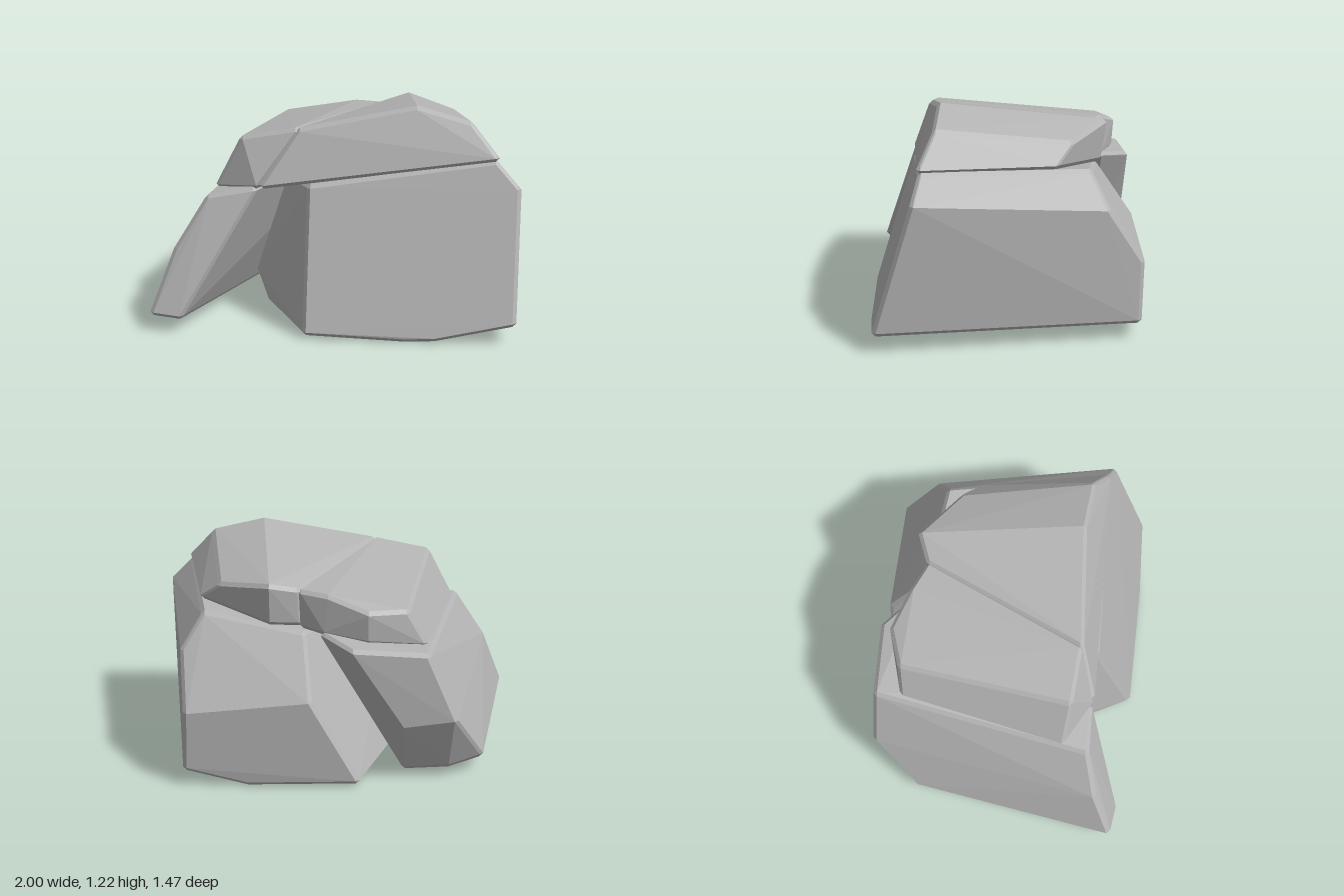
import * as THREE from 'three';
import { ConvexGeometry } from 'three/addons/geometries/ConvexGeometry.js';

const BEVEL = 0.021;

// Convex stone whose corners and edges are chamfered by a small octahedron at each corner.
function stone(name, corners, material) {
  const points = corners.map((c) => new THREE.Vector3(...c));
  const centre = new THREE.Vector3();
  points.forEach((p) => centre.addScaledVector(p, 1 / points.length));
  const hull = [];
  for (const p of points) {
    const inset = centre.clone().sub(p).setLength(BEVEL).add(p);
    for (const axis of ['x', 'y', 'z']) {
      for (const s of [-BEVEL, BEVEL]) {
        const q = inset.clone();
        q[axis] += s;
        hull.push(q);
      }
    }
  }
  const mesh = new THREE.Mesh(new ConvexGeometry(hull), material);
  mesh.name = name;
  return mesh;
}

export function createModel() {
  const group = new THREE.Group();
  group.name = 'rockFormation';
  const grey = new THREE.MeshStandardMaterial({ color: 0xb4b4b4 });
  grey.name = 'stone grey';

  // Large supporting boulder
  group.add(stone('largeBoulder', [
    // base
    [-0.15, 0.03, 0.73], [0.4, 0.01, 0.73], [0.56, 0.02, 0.73], [0.98, 0.11, 0.7],
    [0.79, 0.1, -0.72], [0.45, 0.01, -0.71], [-0.15, 0.03, -0.71],
    [-0.41, 0.04, 0.25], [-0.5, 0.17, 0.08],
    // back shoulder
    [0.11, 0.5, -0.73], [0.78, 0.43, -0.73],
    // top
    [0.99, 0.81, 0.49], [0.87, 0.94, 0.45], [-0.15, 0.79, 0.5], [-0.3, 0.77, 0.22],
    [0.7, 0.91, -0.45], [0.81, 0.73, -0.54], [0.15, 0.82, -0.52],
  ], grey));

  // Leaning side slab
  group.add(stone('leaningSlab', [
    // base
    [-0.99, 0.1, 0.69], [-0.84, 0.09, 0.71], [-0.4, 0.05, -0.56],
    [-0.65, 0.06, -0.55], [-0.83, 0.09, -0.47],
    // outer wall and back
    [-0.87, 0.44, 0.58], [-0.67, 0.4, -0.72], [-0.39, 0.36, -0.72],
    // top
    [-0.7, 0.72, 0.51], [-0.45, 0.765, 0.5],
    [-0.51, 0.77, -0.71], [-0.11, 0.79, -0.72], [0.05, 0.83, -0.57],
  ], grey));

  // Smaller cap stone
  group.add(stone('smallCapStone', [
    [-0.67, 0.75, 0.37], [-0.44, 0.785, 0.5], [-0.51, 0.78, -0.56],
    [-0.2, 0.82, -0.64], [0.05, 0.84, -0.56], [0.17, 0.85, -0.48],
    [-0.53, 1.02, 0.39], [-0.23, 1.075, 0.41], [0.18, 1.04, -0.49],
    [0.03, 1.035, -0.56], [-0.2, 0.97, -0.65], [-0.41, 0.96, -0.58],
  ], grey));

  // Larger cap stone
  group.add(stone('largeCapStone', [
    [-0.41, 0.785, 0.5], [0.87, 0.96, 0.46], [0.73, 0.94, -0.27],
    [0.33, 0.88, -0.53], [0.17, 0.86, -0.48],
    [-0.22, 1.075, 0.41], [0.43, 1.205, 0.36], [0.73, 1.125, 0.38],
    [0.62, 1.03, -0.36], [0.33, 1.085, -0.56], [0.18, 1.045, -0.5],
  ], grey));

  return group;
}
